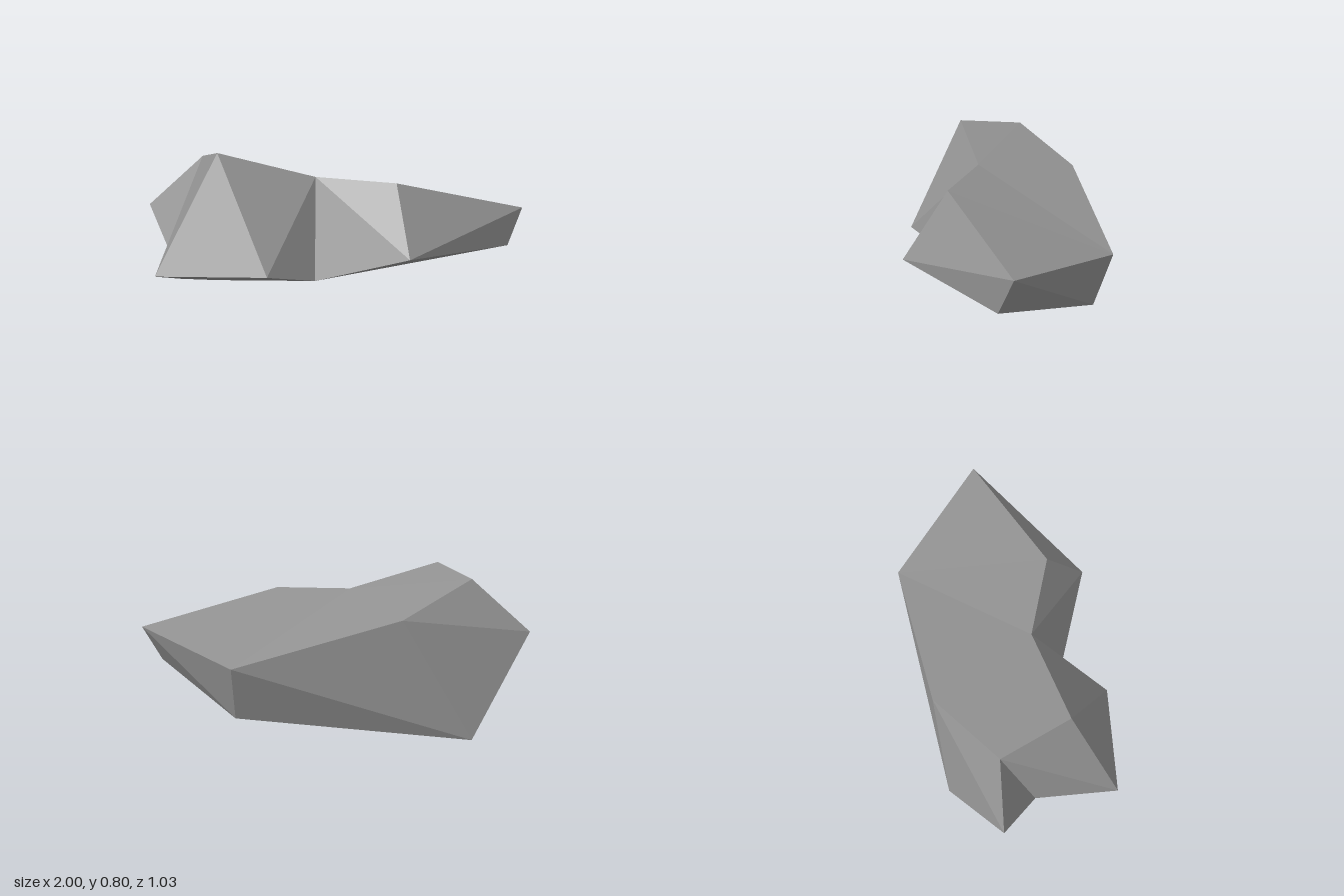
import * as THREE from 'three';

export function createModel() {
  const stone = new THREE.MeshStandardMaterial({ color: 0x909090 });
  stone.name = 'stoneGrey';
  stone.flatShading = true;

  // corners of the rock: 0-6 upper rim, 7-14 lower rim, 15 side spur
  const corners = [
    [-0.57, 0.8, 0.23], [-0.7, 0.755, -0.12], [-0.33, 0.595, -0.4], [0.475, 0.385, -0.515],
    [1, 0.49, -0.025], [0.31, 0.655, 0.27], [-0.09, 0.67, 0.125],
    [-0.845, 0.235, 0.47], [-0.31, 0.24, 0.515], [-0.09, 0.175, 0.315], [0.36, 0.32, 0.495],
    [0.915, 0.3, 0.04], [0.47, 0.12, -0.43], [-0.68, 0, -0.4], [-0.805, 0.12, 0.05],
    [-1, 0.49, -0.145],
  ];

  // each part lists its triangles by corner
  const parts = {
    topFace: [[6, 5, 3], [5, 4, 3], [6, 3, 2], [6, 2, 1], [6, 1, 0]],
    frontFacets: [[7, 8, 0], [8, 6, 0], [8, 9, 6], [9, 10, 6], [10, 5, 6], [10, 4, 5], [10, 11, 4]],
    backFacets: [[11, 12, 4], [12, 3, 4], [12, 13, 3], [13, 2, 3], [13, 15, 2], [15, 1, 2]],
    sideFacets: [[13, 14, 15], [14, 1, 15], [14, 7, 1], [7, 0, 1]],
    underside: [[9, 11, 10], [9, 12, 11], [9, 13, 12], [9, 14, 13], [9, 7, 14], [9, 8, 7]],
  };

  const rock = new THREE.Group();
  rock.name = 'rock';
  for (const [name, triangles] of Object.entries(parts)) {
    const points = triangles.flat().map((i) => new THREE.Vector3(...corners[i]));
    const geometry = new THREE.BufferGeometry().setFromPoints(points);
    geometry.computeVertexNormals();
    const mesh = new THREE.Mesh(geometry, stone);
    mesh.name = name;
    rock.add(mesh);
  }
  return rock;
}
